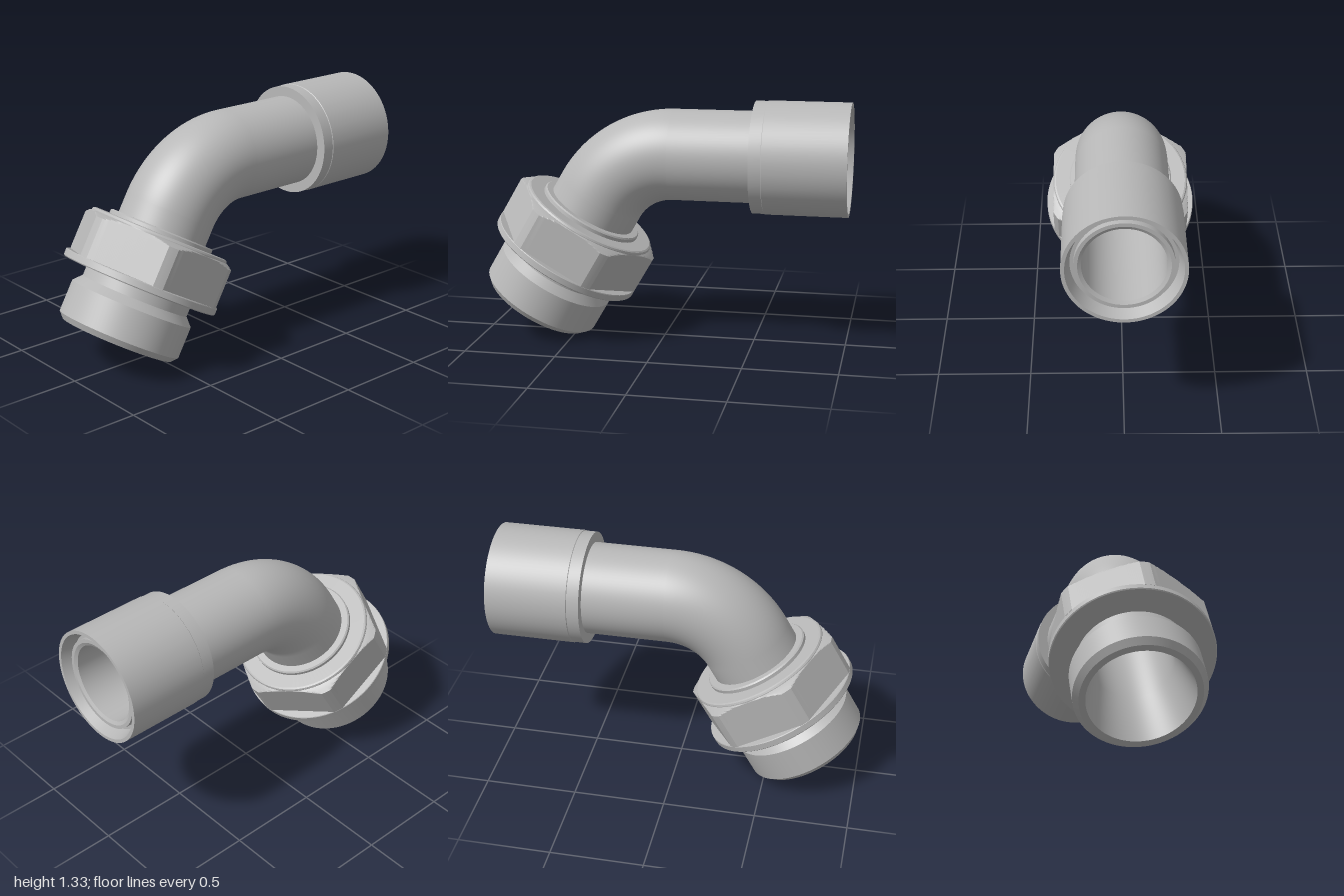
import * as THREE from 'three';
import { toCreasedNormals } from 'three/addons/utils/BufferGeometryUtils.js';

const TUBE_R = 0.247, BORE_R = 0.207, BEND_R = 0.47;

export function createModel() {
  const model = new THREE.Group();
  const steel = new THREE.MeshStandardMaterial({ color: 0xb8b8b8, side: THREE.DoubleSide });
  steel.name = 'steel grey';

  const add = (parent, name, geometry) => {
    const mesh = new THREE.Mesh(geometry, steel);
    mesh.name = name;
    parent.add(mesh);
    return mesh;
  };
  // Turned part from [radius, height] pairs, with sharp edges kept
  const turned = (pairs, segments = 96) =>
    new THREE.LatheGeometry(pairs.map(([r, h]) => new THREE.Vector2(r, h)), segments);
  const sharp = (geometry) => toCreasedNormals(geometry, 0.3);

  // Horizontal leg: local y runs along +x
  const outlet = new THREE.Group();
  outlet.name = 'outlet';
  outlet.position.y = 1.025;
  outlet.rotation.z = -Math.PI / 2;
  model.add(outlet);
  add(outlet, 'outletPipe', sharp(turned([[TUBE_R, 0.05], [TUBE_R, 0.5]])));
  add(outlet, 'outletSleeve', sharp(turned([
    [TUBE_R, 0.49], [0.302, 0.49], [0.302, 0.555], [0.305, 0.558], [0.305, 1],
    [0.286, 1], [0.262, 0.93], [0.244, 0.93], [0.244, 0.965], [0.225, 0.965],
    [BORE_R, 0.955], [BORE_R, 0.05],
  ])));

  // Sixty degree bend, outer skin and bore
  for (const [name, radius] of [['bend', TUBE_R], ['bendBore', BORE_R]]) {
    const bend = add(model, name, new THREE.TorusGeometry(BEND_R, radius, 96, 48, Math.PI / 3));
    bend.position.set(0.05, 1.025 - BEND_R, 0);
    bend.rotation.z = Math.PI / 2;
  }

  // Tilted leg: local y runs up the inclined axis
  const inlet = new THREE.Group();
  inlet.name = 'inlet';
  inlet.position.set(-0.61, 0.352, 0);
  inlet.rotation.z = -Math.PI / 6;
  model.add(inlet);
  add(inlet, 'inletPipe', sharp(turned([[TUBE_R, 0.36], [TUBE_R, 0.507]])));
  add(inlet, 'spigot', sharp(turned([
    [BORE_R, 0.507], [BORE_R, 0.05], [0.275, -0.225], [0.308, -0.225], [0.337, -0.193],
    [0.337, -0.02], [0.295, 0.025], [0.295, 0.09],
  ])));
  add(inlet, 'nutCollar', sharp(turned([
    [0.29, 0.085], [0.424, 0.085], [0.429, 0.09], [0.429, 0.122], [0.426, 0.126], [0.3, 0.126],
  ])));
  add(inlet, 'nutWasher', sharp(turned([
    [0.383, 0.355], [0.383, 0.367], [0.379, 0.376], [0.37, 0.38], [0.29, 0.38],
    [0.29, 0.398], [0.283, 0.405], [TUBE_R, 0.405],
  ])));

  // Hexagon nut: a turned, chamfered blank cut back to six flats
  const hex = turned([
    [0.4287, 0.124], [0.4287, 0.34], [0.418, 0.346], [0.407, 0.352],
    [0.396, 0.358], [0.382, 0.364], [0.3, 0.364],
  ], 300);
  const pos = hex.attributes.position;
  for (let i = 0; i < pos.count; i++) {
    const x = pos.getX(i), z = pos.getZ(i), r = Math.hypot(x, z);
    const sector = Math.PI / 3;
    const a = Math.atan2(z, x) + 2 * Math.PI;
    const offset = (a % sector) - sector / 2;
    const k = Math.min(1, 0.384 / Math.cos(offset) / r);
    pos.setXYZ(i, x * k, pos.getY(i), z * k);
  }
  add(inlet, 'hexNut', sharp(hex));

  return model;
}
